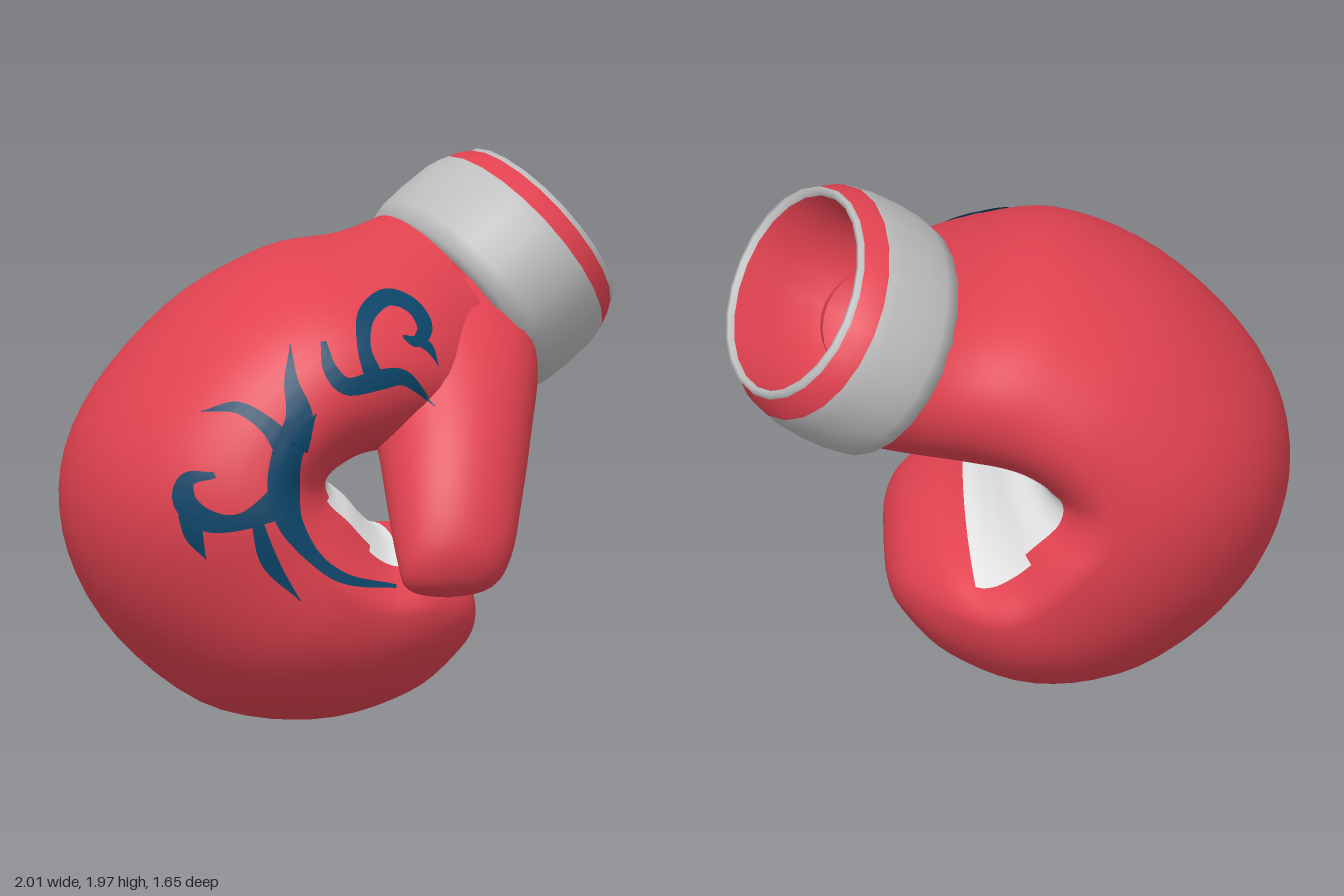
import * as THREE from 'three';

const mat = (name, color, side = THREE.FrontSide) => {
  const m = new THREE.MeshStandardMaterial({ color, side });
  m.name = name;
  return m;
};

// Smooth loft of egg-shaped sections. Each key: outer point (a, b), inner point (a, b),
// half width and centre along the third axis, and where between inner and outer it is
// widest. place() turns (a, b, s) into x, y, z.
function loft(name, keys, rows, cols, place, isLining, materials) {
  const curve = (f) => new THREE.CatmullRomCurve3(keys.map(f), false, 'catmullrom', 0.5);
  const outer = curve((k) => new THREE.Vector3(k[0], k[1], k[4]));
  const inner = curve((k) => new THREE.Vector3(k[2], k[3], k[5]));
  const widest = curve((k) => new THREE.Vector3(k[6] ?? 0.5, 0, 0));
  const pos = [], skin = [], lining = [];
  for (let i = 0; i <= rows; i++) {
    const t = i / rows, o = outer.getPoint(t), n = inner.getPoint(t), f = widest.getPoint(t).x;
    for (let j = 0; j < cols; j++) {
      const th = (j / cols) * Math.PI * 2, c = Math.cos(th);
      const k = f + c * (c > 0 ? 1 - f : f);
      pos.push(...place(
        n.x + (o.x - n.x) * k,
        n.y + (o.y - n.y) * k,
        n.z + Math.max(o.z, 0) * Math.sin(th)));
      if (i === rows) continue;
      const j2 = (j + 1) % cols, a = i * cols + j, b = i * cols + j2;
      const mid = ((j + 0.5) / cols) * Math.PI * 2;
      (isLining((i + 0.5) / rows, Math.cos(mid), Math.sin(mid)) ? lining : skin)
        .push(a, a + cols, b, b, a + cols, b + cols);
    }
  }
  const g = new THREE.BufferGeometry();
  g.setAttribute('position', new THREE.Float32BufferAttribute(pos, 3));
  g.setIndex([...skin, ...lining]);
  g.addGroup(0, skin.length, 0);
  g.addGroup(skin.length, lining.length, 1);
  g.computeVertexNormals();
  const mesh = new THREE.Mesh(g, materials);
  mesh.name = name;
  return mesh;
}

// Tapered ribbon laid on the front of the glove. Points: x, y, width.
function inkStroke(points, targets, material) {
  const curve = new THREE.CatmullRomCurve3(points.map((p) => new THREE.Vector3(...p)), false, 'catmullrom', 0.5);
  const rows = points.length * 6, across = 4, pos = [], idx = [];
  const ray = new THREE.Raycaster(), dir = new THREE.Vector3(0, 0, -1);
  for (let i = 0; i <= rows; i++) {
    const p = curve.getPoint(i / rows), d = curve.getTangent(i / rows);
    const len = Math.hypot(d.x, d.y) || 1;
    for (let j = 0; j <= across; j++) {
      const k = (j / across - 0.5) * Math.max(p.z, 0.004);
      const x = p.x - (d.y / len) * k, y = p.y + (d.x / len) * k;
      ray.set(new THREE.Vector3(x, y, 3), dir);
      const hit = ray.intersectObjects(targets, false)[0];
      const v = hit ? hit.point.clone().addScaledVector(hit.face.normal, 0.007) : new THREE.Vector3(x, y, 0);
      pos.push(v.x, v.y, v.z);
      if (i < rows && j < across) {
        const a = i * (across + 1) + j, b = a + across + 1;
        idx.push(a, b, a + 1, a + 1, b, b + 1);
      }
    }
  }
  const g = new THREE.BufferGeometry();
  g.setAttribute('position', new THREE.Float32BufferAttribute(pos, 3));
  g.setIndex(idx);
  g.computeVertexNormals();
  return new THREE.Mesh(g, material);
}

export function createModel() {
  const red = mat('red leather', 0xe24250);
  const palm = mat('pale palm', 0xe4e4e4);
  const band = mat('grey band', 0xbebebe);
  const ink = mat('dark blue ink', 0x0b4568, THREE.DoubleSide);
  const glove = new THREE.Group();
  glove.name = 'boxingGlove';

  // Hand: curls from the wrist over the knuckles to the fingertips
  const hand = loft('hand', [
    [0.29, 1.77, 0.72, 1.14, 0.47, -0.27, 0.5],
    [0.04, 1.70, 0.49, 1.03, 0.62, -0.10, 0.5],
    [-0.25, 1.66, 0.23, 0.97, 0.70, -0.02, 0.48],
    [-0.61, 1.46, 0.06, 0.96, 0.74, 0.01, 0.42],
    [-0.92, 1.10, -0.06, 0.91, 0.76, 0.03, 0.35],
    [-1.00, 0.74, -0.06, 0.85, 0.77, 0.04, 0.31],
    [-0.86, 0.37, 0.01, 0.79, 0.76, 0.04, 0.29],
    [-0.52, 0.07, 0.07, 0.72, 0.74, 0.05, 0.29],
    [-0.13, 0.00, 0.14, 0.67, 0.70, 0.05, 0.32],
    [0.20, 0.09, 0.25, 0.67, 0.60, 0.08, 0.37],
    [0.38, 0.24, 0.37, 0.60, 0.43, 0.11, 0.45],
    [0.43, 0.33, 0.43, 0.50, 0.26, 0.13, 0.5],
    [0.44, 0.41, 0.44, 0.41, 0.0, 0.14, 0.5],
  ], 60, 56, (a, b, s) => [a, b, s],
  (t, c, s) => t < 0.69 && c < -0.4 && s > -0.63 - 0.35 * t && s < 0.35 + 0.55 * t, [red, palm]);

  // Thumb: sections lie in the z-y plane, width along x
  const thumb = loft('thumb', [
    [0.06, 1.56, -0.22, 1.18, 0.25, 0.41],
    [0.35, 1.43, 0.0, 1.08, 0.32, 0.365],
    [0.59, 1.19, 0.22, 0.88, 0.275, 0.35],
    [0.75, 0.95, 0.42, 0.72, 0.24, 0.325],
    [0.83, 0.73, 0.58, 0.59, 0.205, 0.305],
    [0.81, 0.59, 0.66, 0.52, 0.15, 0.285],
    [0.74, 0.52, 0.74, 0.52, 0.0, 0.28],
  ], 36, 32, (a, b, s) => [s, b, a],
  (t, c) => t < 0.86 && c < -0.4, [red, palm]);
  glove.add(hand, thumb);

  // Cuff: oval turned rings on the tilted wrist axis
  const cuff = new THREE.Group();
  cuff.name = 'cuff';
  const axis = new THREE.Vector3(0.79, 0.6, -0.24).normalize();
  const side = new THREE.Vector3(0.18, 0.16, 0.97);
  side.addScaledVector(axis, -side.dot(axis)).normalize();
  const up = new THREE.Vector3().crossVectors(side, axis);
  cuff.quaternion.setFromRotationMatrix(new THREE.Matrix4().makeBasis(side, axis, up));
  cuff.position.set(0.455, 1.43, -0.25);
  cuff.scale.set(0.525, 1, 0.42);
  const rings = [
    ['cuffBand', band, [[0.85, -0.02], [0.97, -0.01], [1.0, 0.05], [1.01, 0.14], [1.0, 0.26], [0.975, 0.31]]],
    ['cuffStripe', red, [[0.975, 0.31], [0.94, 0.35], [0.88, 0.39]]],
    ['cuffRim', band, [[0.88, 0.39], [0.865, 0.41], [0.83, 0.41], [0.81, 0.39]]],
    ['cuffInside', red, [[0.81, 0.39], [0.77, 0.25], [0.72, 0.1], [0.55, -0.04], [0.3, -0.1], [0, -0.12]]],
  ];
  for (const [name, material, profile] of rings) {
    const g = new THREE.LatheGeometry(profile.map((p) => new THREE.Vector2(...p)), 24);
    const mesh = new THREE.Mesh(g, material);
    mesh.name = name;
    cuff.add(mesh);
  }
  glove.add(cuff);

  // Painted swirls on the front
  const swirls = new THREE.Group();
  swirls.name = 'paintedSwirls';
  const strokes = [
    [[-0.27, 1.42, 0], [-0.28, 1.3, 0.05], [-0.26, 1.17, 0.1], [-0.31, 1.04, 0.11], [-0.32, 0.92, 0.12],
      [-0.3, 0.81, 0.09], [-0.22, 0.69, 0.05], [-0.1, 0.6, 0.035], [0.1, 0.55, 0.01]],
    [[-0.27, 1.08, 0.09], [-0.2, 1.19, 0]],
    [[-0.59, 1.19, 0], [-0.47, 1.21, 0.04], [-0.37, 1.15, 0.06], [-0.3, 1.06, 0.1]],
    [[-0.31, 0.9, 0.13], [-0.47, 0.82, 0.06], [-0.59, 0.82, 0.08], [-0.66, 0.88, 0.08], [-0.65, 0.96, 0.05], [-0.56, 0.98, 0.02]],
    [[-0.65, 0.84, 0.07], [-0.63, 0.76, 0.06], [-0.59, 0.68, 0]],
    [[-0.42, 0.82, 0.04], [-0.37, 0.67, 0.06], [-0.26, 0.53, 0]],
    [[-0.155, 1.43, 0.02], [-0.14, 1.34, 0.05], [-0.08, 1.28, 0.06], [0.04, 1.295, 0.07], [0.14, 1.29, 0.05], [0.255, 1.18, 0]],
    [[0.02, 1.3, 0.07], [-0.01, 1.4, 0.05], [0.01, 1.5, 0.06], [0.1, 1.55, 0.05], [0.19, 1.52, 0.05],
      [0.23, 1.45, 0.06], [0.19, 1.41, 0.04], [0.14, 1.43, 0.01]],
    [[0.2, 1.41, 0.03], [0.24, 1.38, 0.03], [0.27, 1.32, 0]],
  ];
  strokes.forEach((s, i) => {
    const mesh = inkStroke(s, [hand, thumb], ink);
    mesh.name = `swirl${i + 1}`;
    swirls.add(mesh);
  });
  glove.add(swirls);
  return glove;
}
